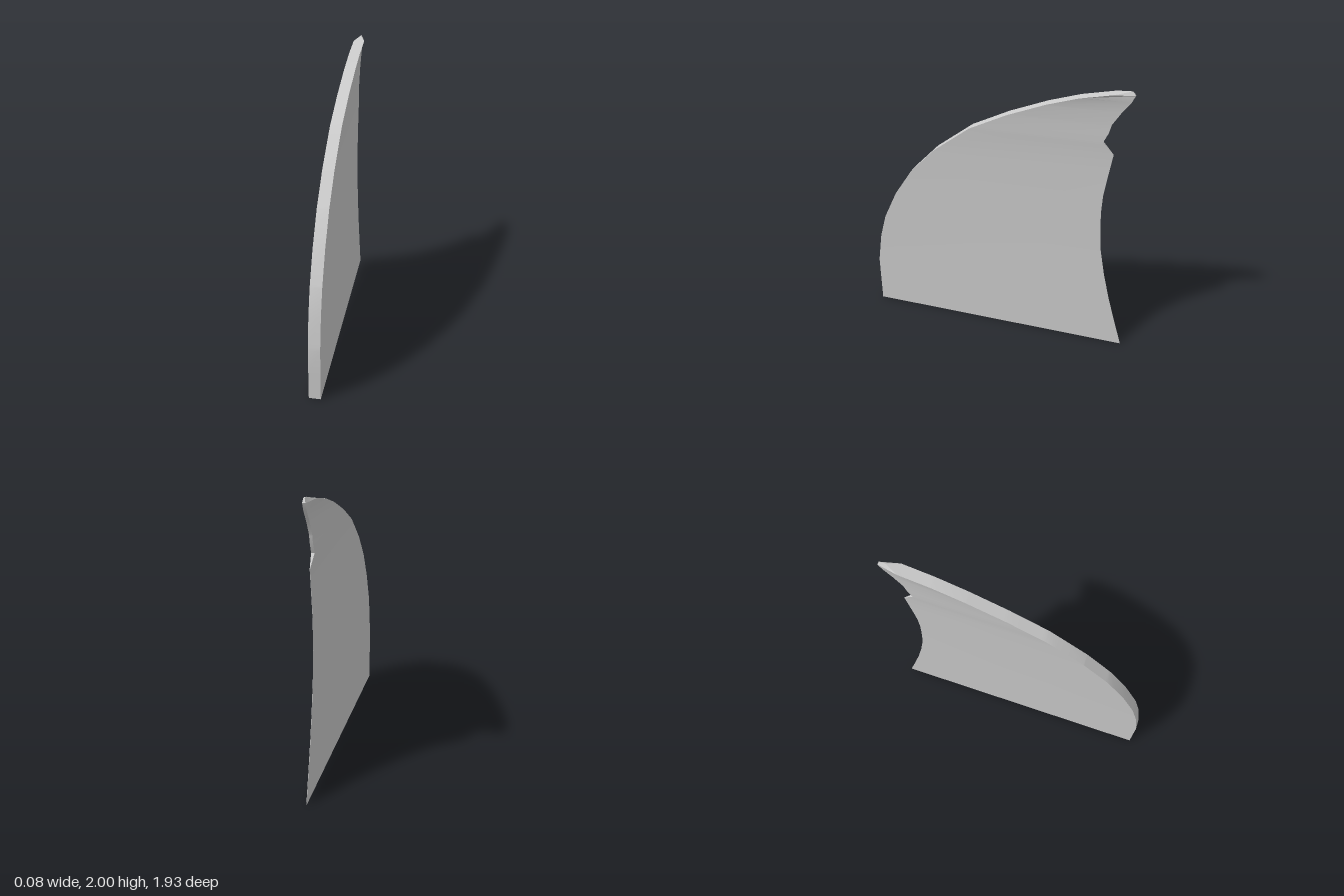
import * as THREE from 'three';
import { toCreasedNormals } from 'three/addons/utils/BufferGeometryUtils.js';

// Edge profiles as [y, z, half thickness], from the base up
const LEADING = [
  [0, 0.965, 0.04], [0.37, 0.965, 0.04], [0.6, 0.93, 0.04], [0.78, 0.88, 0.04],
  [1.0, 0.777, 0.04], [1.21, 0.64, 0.04], [1.405, 0.455, 0.04], [1.61, 0.19, 0.04],
  [1.745, -0.075, 0.04], [1.855, -0.34, 0.04], [1.925, -0.55, 0.04], [1.975, -0.765, 0.04],
];
const TRAILING = [
  [0, -0.965, 0.001], [0.2, -0.905, 0.001], [0.4, -0.848, 0.001], [0.6, -0.8, 0.001],
  [0.8, -0.762, 0.001], [1.0, -0.747, 0.001], [1.1, -0.743, 0.001], [1.23, -0.748, 0.001],
  [1.4, -0.772, 0.001], [1.55, -0.795, 0.001], [1.63, -0.72, 0.011], [1.7, -0.752, 0.01],
  [1.76, -0.767, 0.01], [1.85, -0.822, 0.01], [1.93, -0.88, 0.01], [1.975, -0.9, 0.01],
];

// Interpolate [z, half thickness] on an edge at height y
function edgeAt(edge, y) {
  let i = 1;
  while (i < edge.length - 1 && edge[i][0] < y) i++;
  const [a, b] = [edge[i - 1], edge[i]];
  const t = (y - a[0]) / (b[0] - a[0]);
  return [a[1] + (b[1] - a[1]) * t, a[2] + (b[2] - a[2]) * t];
}

function finGeometry() {
  const positions = [];
  const tri = (a, b, c) => positions.push(...a, ...b, ...c);
  const quad = (a, b, c, d) => { tri(a, b, c); tri(a, c, d); };

  // Wedge-shaped cross-sections at every height where an edge bends
  const heights = [...new Set([...LEADING, ...TRAILING].map((p) => p[0]))].sort((a, b) => a - b);
  const rings = heights.map((y) => {
    const [zf, wf] = edgeAt(LEADING, y);
    const [zr, wr] = edgeAt(TRAILING, y);
    return [[wf, y, zf], [-wf, y, zf], [-wr, y, zr], [wr, y, zr]];
  });
  for (let i = 0; i < rings.length - 1; i++) {
    for (let k = 0; k < 4; k++) {
      const n = (k + 1) % 4;
      quad(rings[i][n], rings[i][k], rings[i + 1][k], rings[i + 1][n]);
    }
  }

  // Base
  quad(...rings[0]);

  // Ridged tip
  const [fl, fr, rr, rl] = rings[rings.length - 1];
  const ridgeFront = [0, 2, -0.85];
  const ridgeBack = [0, 2, -0.88];
  tri(fr, fl, ridgeFront);
  quad(fl, rl, ridgeBack, ridgeFront);
  quad(rr, fr, ridgeFront, ridgeBack);
  tri(rl, rr, ridgeBack);

  const geometry = new THREE.BufferGeometry();
  geometry.setAttribute('position', new THREE.Float32BufferAttribute(positions, 3));
  return toCreasedNormals(geometry, 0.4);
}

export function createModel() {
  const group = new THREE.Group();
  group.name = 'fin';
  const blade = new THREE.Mesh(finGeometry(), new THREE.MeshStandardMaterial({ color: 0xcccccc }));
  blade.name = 'finBlade';
  group.add(blade);
  return group;
}
